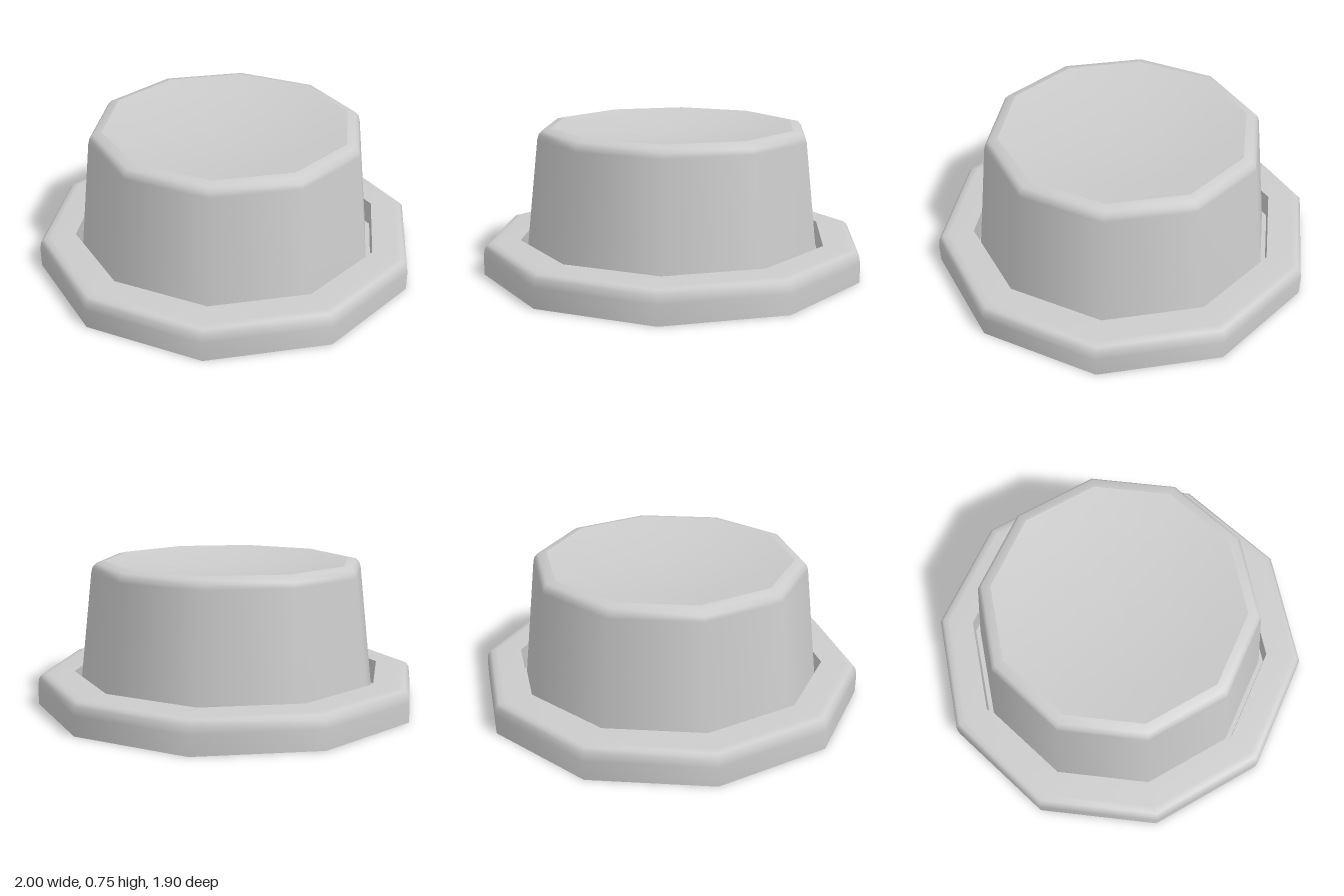
import * as THREE from 'three';

const SIDES = 10;

export function createModel() {
  const model = new THREE.Group();
  const material = new THREE.MeshStandardMaterial({ color: 0xcccccc });

  // Ten-sided turned surface with a corner on the x axis; each profile is one smooth band
  function turned(name, profile) {
    const points = profile.map(([r, y]) => new THREE.Vector2(r, y));
    const geometry = new THREE.LatheGeometry(points, SIDES, Math.PI / 2);
    const mesh = new THREE.Mesh(geometry, material);
    mesh.name = name;
    return mesh;
  }

  // Base flange: flat underside, softly rounded rim and a narrow groove around the button
  const base = new THREE.Group();
  base.name = 'base';
  base.add(
    turned('underside', [[0, 0], [1, 0]]),
    turned('rim', [[1, 0], [1, 0.1], [0.993, 0.14], [0.975, 0.16], [0.94, 0.165], [0.81, 0.17]]),
    turned('grooveWall', [[0.81, 0.17], [0.81, 0.04]]),
    turned('grooveFloor', [[0.81, 0.04], [0.78, 0.04]])
  );

  // Button: tapered wall rolling over a rounded shoulder into a shallow dish
  const button = new THREE.Group();
  button.name = 'button';
  button.add(
    turned('wall', [[0.785, 0.04], [0.77, 0.17], [0.71, 0.69], [0.703, 0.715], [0.685, 0.735], [0.64, 0.745]]),
    turned('dish', [[0.64, 0.745], [0.48, 0.722], [0.32, 0.706], [0.16, 0.697], [0, 0.694]])
  );

  model.add(base, button);
  return model;
}
